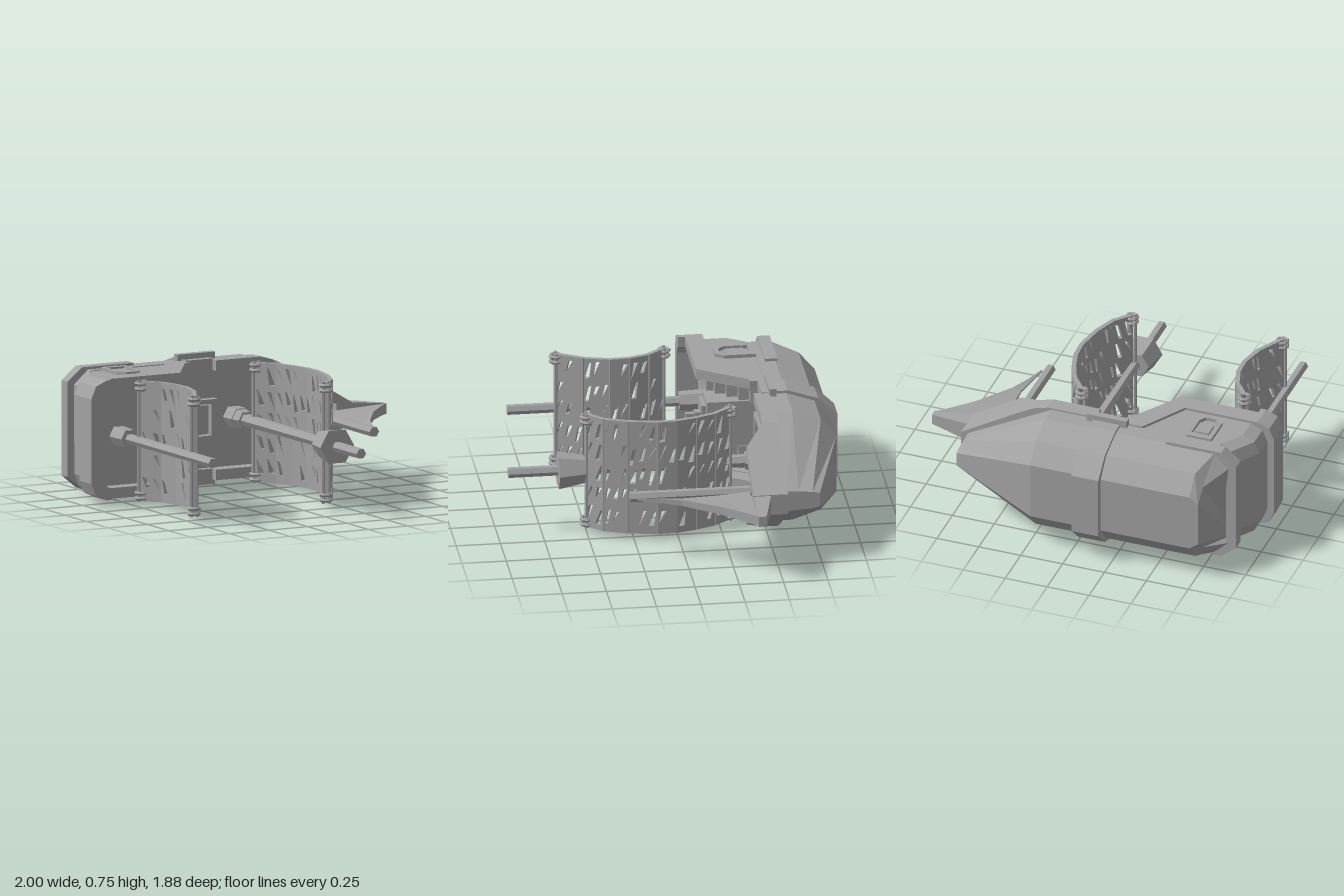
import * as THREE from 'three';

// Built as an upright ship (x fore, y up the masts, z across), then tipped so the masts point to +z.
export function createModel() {
  const model = new THREE.Group();
  model.name = 'sailingShip';
  const ship = new THREE.Group();
  ship.name = 'ship';
  ship.rotation.x = Math.PI / 2;
  ship.position.y = 0.375;
  model.add(ship);

  const grey = new THREE.MeshStandardMaterial({ color: 0xa2a2a2, flatShading: true });
  grey.name = 'plainGrey';

  let seed = 7;
  const rand = () => (seed = (seed * 16807) % 2147483647) / 2147483647;

  const add = (name, geo, x = 0, y = 0, z = 0) => {
    const m = new THREE.Mesh(geo, grey);
    m.name = name;
    m.position.set(x, y, z);
    ship.add(m);
    return m;
  };
  // box from its limits
  const box = (name, x0, x1, y0, y1, z0, z1) =>
    add(name, new THREE.BoxGeometry(x1 - x0, y1 - y0, z1 - z0), (x0 + x1) / 2, (y0 + y1) / 2, (z0 + z1) / 2);
  const shapeOf = pts => new THREE.Shape(pts.map(p => new THREE.Vector2(...p)));
  const extrude = (shape, depth) => new THREE.ExtrudeGeometry(shape, { depth, bevelEnabled: false });
  // side outline (x, y) given thickness between z0 and z1, on both sides
  const sides = (name, pts, z0, z1, hole) => {
    for (const s of [1, -1]) {
      const shape = shapeOf(pts);
      if (hole) shape.holes.push(new THREE.Path(hole.map(p => new THREE.Vector2(...p))));
      add(name, extrude(shape, z1 - z0), 0, 0, s > 0 ? z0 : -z1);
    }
  };
  // plan outline (x, z) raised from y0 to y1
  const plan = (name, pts, y0, y1) => add(name, extrude(shapeOf(pts), y1 - y0).rotateX(-Math.PI / 2), 0, y0, 0);

  // closed skin through equal-length rings, turned to face outwards
  const loft = rings => {
    const tris = [], n = rings[0].length;
    for (let r = 0; r + 1 < rings.length; r++)
      for (let i = 0; i < n; i++) {
        const j = (i + 1) % n, a = rings[r], b = rings[r + 1];
        tris.push([a[i], a[j], b[j]], [a[i], b[j], b[i]]);
      }
    const last = rings[rings.length - 1];
    for (let i = 1; i + 1 < n; i++) {
      tris.push([rings[0][0], rings[0][i + 1], rings[0][i]]);
      tris.push([last[0], last[i], last[i + 1]]);
    }
    const v = p => new THREE.Vector3(...p);
    const volume = tris.reduce((t, [a, b, c]) => t + v(a).dot(v(b).cross(v(c))), 0);
    const pos = tris.flatMap(t => (volume < 0 ? [t[0], t[2], t[1]] : t)).flat();
    const geo = new THREE.BufferGeometry();
    geo.setAttribute('position', new THREE.Float32BufferAttribute(pos, 3));
    geo.computeVertexNormals();
    return geo;
  };
  // ring from half a section, mirrored across z
  const mirrored = half => [...half, ...half.slice().reverse().map(([x, y, z]) => [x, y, -z])];

  // Hull, with its flat top forming the main deck
  add('hull', loft([
    [[-0.87, -0.55, 0.25], [-0.87, -0.65, 0.25], [-0.77, -0.82, 0.2], [-0.77, -0.9, 0.13]],
    [[-0.78, -0.55, 0.33], [-0.78, -0.65, 0.33], [-0.72, -0.81, 0.275], [-0.72, -0.9, 0.17]],
    [[0.23, -0.55, 0.33], [0.23, -0.65, 0.33], [0.23, -0.81, 0.275], [0.23, -0.9, 0.17]],
    [[0.73, -0.55, 0.06], [0.73, -0.62, 0.055], [0.73, -0.7, 0.05], [0.73, -0.74, 0.04]],
  ].map(mirrored)));

  // Band around the middle, with its collars at the rail
  add('hullBand', loft([-0.19, -0.03].map(x => mirrored(
    [[x, -0.56, 0.345], [x, -0.66, 0.345], [x, -0.83, 0.29], [x, -0.94, 0.185]]))));
  sides('bandCollar', [[-0.23, -0.59], [0.01, -0.59], [0.01, -0.55], [-0.23, -0.55]], 0.28, 0.375);
  sides('bandCap', [[-0.2, -0.55], [-0.02, -0.55], [-0.02, -0.51], [-0.2, -0.51]], 0.28, 0.345);

  // Stern castle
  const sternPlan = (back, front, h) => [[front, h], [back + 0.1, h], [back + 0.03, h - 0.03], [back, h - 0.1],
    [back, -h + 0.1], [back + 0.03, -h + 0.03], [back + 0.1, -h], [front, -h]];
  add('sternCastle', loft([[-0.56, -0.87], [-0.42, -0.96], [-0.27, -0.96]]
    .map(([y, back]) => sternPlan(back, -0.57, 0.325).map(([x, z]) => [x, y, z]))));
  sides('castleWall', [[-0.58, -0.57], [-0.28, -0.57], [-0.46, -0.26], [-0.58, -0.26]], 0.275, 0.325);
  sides('sternRail', [[-0.88, -0.29], [-0.47, -0.29], [-0.31, -0.555], [-0.2, -0.555], [-0.2, -0.465],
    [-0.23, -0.465], [-0.41, -0.19], [-0.88, -0.19]], 0.28, 0.34);
  plan('sternBulwark', [...sternPlan(-1, -0.87, 0.34),
    [-0.87, -0.28], [-0.92, -0.25], [-0.93, -0.22], [-0.93, 0.22], [-0.92, 0.25], [-0.87, 0.28]], -0.29, -0.15);

  // Rubbing strip around the stern
  plan('sternStrip', [[-0.49, 0.345], [-0.82, 0.345], [-0.91, 0.27], [-0.91, -0.27], [-0.82, -0.345], [-0.49, -0.345],
    [-0.49, -0.31], [-0.8, -0.31], [-0.85, -0.24], [-0.85, 0.24], [-0.8, 0.31], [-0.49, 0.31]], -0.66, -0.59);

  // Shield-shaped plates on the sides
  const shield = k => [[-0.075, -0.12], [0.075, -0.12], [0.075, 0.06], [0.04, 0.11], [-0.04, 0.11], [-0.075, 0.06]]
    .map(([x, y]) => [-0.645 + x * k, -0.43 + y * k]);
  sides('sideShield', shield(1), 0.31, 0.345, shield(0.72));
  sides('shieldCentre', shield(0.5), 0.31, 0.338);

  // Stairs on both sides of the helm platform
  for (const s of [1, -1])
    for (let i = 0; i < 4; i++) {
      const z = [0.14 * s, 0.28 * s].sort((a, b) => a - b);
      box('stair', -0.57, -0.51 + i * 0.053, -0.56, -0.31 - i * 0.06, ...z);
    }
  box('helmPlatform', -0.6, -0.4, -0.56, -0.25, -0.135, 0.135);
  box('helmPanel', -0.58, -0.44, -0.26, -0.225, -0.1, 0.1);
  box('helmStand', -0.505, -0.455, -0.23, -0.19, -0.055, 0.055);
  for (const z of [-0.045, 0.015]) box('helmPost', -0.495, -0.465, -0.2, -0.14, z, z + 0.03);
  add('helmWheel', new THREE.TorusGeometry(0.035, 0.008, 4, 8).rotateY(Math.PI / 2), -0.48, -0.17, 0);

  // Deck hatch with a raised frame
  const square = (r, rx) => [[-rx, -r], [rx, -r], [rx, r], [-rx, r]];
  const hatch = shapeOf(square(0.115, 0.145));
  hatch.holes.push(new THREE.Path(square(0.09, 0.105).map(p => new THREE.Vector2(...p))));
  add('hatchFrame', extrude(hatch, 0.05).rotateX(-Math.PI / 2), -0.145, -0.55, 0);
  box('hatchCover', -0.24, -0.05, -0.55, -0.52, -0.08, 0.08);

  // Forward rails that rise and close together at the bow
  for (const s of [1, -1])
    add('bowRail', loft([[-0.03, 0.34, -0.465], [0.25, 0.34, -0.465], [0.34, 0.315, -0.465], [0.48, 0.235, -0.36], [0.77, 0.06, -0.36]]
      .map(([x, h, top]) => [[x, -0.555, s * h], [x, top, s * h],
        [x, top, s * (h - 0.06)], [x, -0.555, s * (h - 0.06)]])));
  add('bowsprit', loft([[0.68, -0.55, 0.06], [0.77, -0.46, 0.055], [1, -0.405, 0.03]].map(([x, y, h]) =>
    [[x, y, h], [x, -0.36, h], [x, -0.36, -h], [x, y, -h]])));

  // Masts: x, foot, head, radius
  const pole = (name, x, y0, y1, r0, r1 = r0) =>
    add(name, new THREE.CylinderGeometry(r1, r0, y1 - y0, 6).rotateY(Math.PI / 6), x, (y0 + y1) / 2, 0);
  pole('sternMast', -0.76, -0.3, 0.83, 0.029);
  pole('sternMastFoot', -0.76, -0.28, -0.14, 0.06, 0.055);
  pole('mainMast', 0.125, -0.56, 0.55, 0.038, 0.03);
  pole('mainMastFoot', 0.125, -0.46, -0.395, 0.06, 0.05);
  pole('mainMastBase', 0.125, -0.56, -0.455, 0.065);
  pole('lookout', 0.125, 0.51, 0.66, 0.08, 0.108);
  pole('topMast', 0.125, 0.5, 0.94, 0.03);
  pole('foreMast', 0.555, -0.56, 0.31, 0.03);

  // Jib between the foremast and the bowsprit
  add('jib', loft([[-0.36, 0.59, 0.99, 0.03], [-0.31, 0.6, 0.94, 0.028], [-0.18, 0.62, 0.82, 0.024],
    [0.03, 0.628, 0.68, 0.017], [0.15, 0.61, 0.63, 0.012], [0.27, 0.588, 0.596, 0.007]]
    .map(([y, x0, x1, t]) => [[x0, y, t * 0.4], [x1, y, t], [x1, y, -t], [x0, y, -t * 0.4]])));

  // Torn sails made of flat panels along a bowed path, each with slanted rips
  const sail = (name, path) => {
    path.slice(1).forEach(([x1, y1], i) => {
      const [x0, y0] = path[i], len = Math.hypot(x1 - x0, y1 - y0);
      const shape = shapeOf([[0, -0.34], [len, -0.34], [len, 0.34], [0, 0.34]]);
      const cols = Math.max(2, Math.round(len / 0.055)), w = len / cols;
      for (let c = 0; c < cols; c++)
        for (let r = 0; r < 5; r++) {
          if (rand() < 0.3) continue;
          const a = (c + 0.12) * w, b = (c + 0.88) * w, m = a + (b - a) * (0.2 + 0.5 * rand());
          const lo = -0.325 + r * 0.13 + 0.02 * rand(), hi = lo + 0.06 + 0.045 * rand();
          const rip = rand() < 0.5 ? [[a, lo], [m, lo], [b, hi]] : [[a, lo], [m, lo + 0.01], [b, hi], [m, hi]];
          shape.holes.push(new THREE.Path(rip.map(p => new THREE.Vector2(...p))));
        }
      const dx = (x1 - x0) / len, dy = (y1 - y0) / len;
      const geo = extrude(shape, 0.025).translate(0, 0, -0.0125);
      geo.applyMatrix4(new THREE.Matrix4().makeBasis(
        new THREE.Vector3(dx, dy, 0), new THREE.Vector3(0, 0, 1), new THREE.Vector3(dy, -dx, 0)));
      add(name + 'Panel', geo, x0, y0, 0);
    });
    // yards along both edges, with rope lashings at their ends
    for (const [x, y] of [path[0], path[path.length - 1]]) {
      for (const d of [-0.018, 0.018])
        add(name + 'Yard', new THREE.CylinderGeometry(0.01, 0.01, 0.69, 6).rotateX(Math.PI / 2), x + d, y, 0);
      for (const z of [-0.325, -0.295, 0.295, 0.325])
        add(name + 'Lashing', new THREE.TorusGeometry(0.03, 0.011, 5, 8), x, y, z);
    }
  };
  sail('mainSail', [[0.14, -0.31], [0.22, -0.21], [0.265, -0.1], [0.295, 0.01], [0.3, 0.12], [0.27, 0.28], [0.22, 0.41], [0.14, 0.5]]);
  sail('sternSail', [[-0.735, -0.05], [-0.655, 0.05], [-0.62, 0.16], [-0.615, 0.27], [-0.65, 0.41], [-0.735, 0.56]]);

  return model;
}
